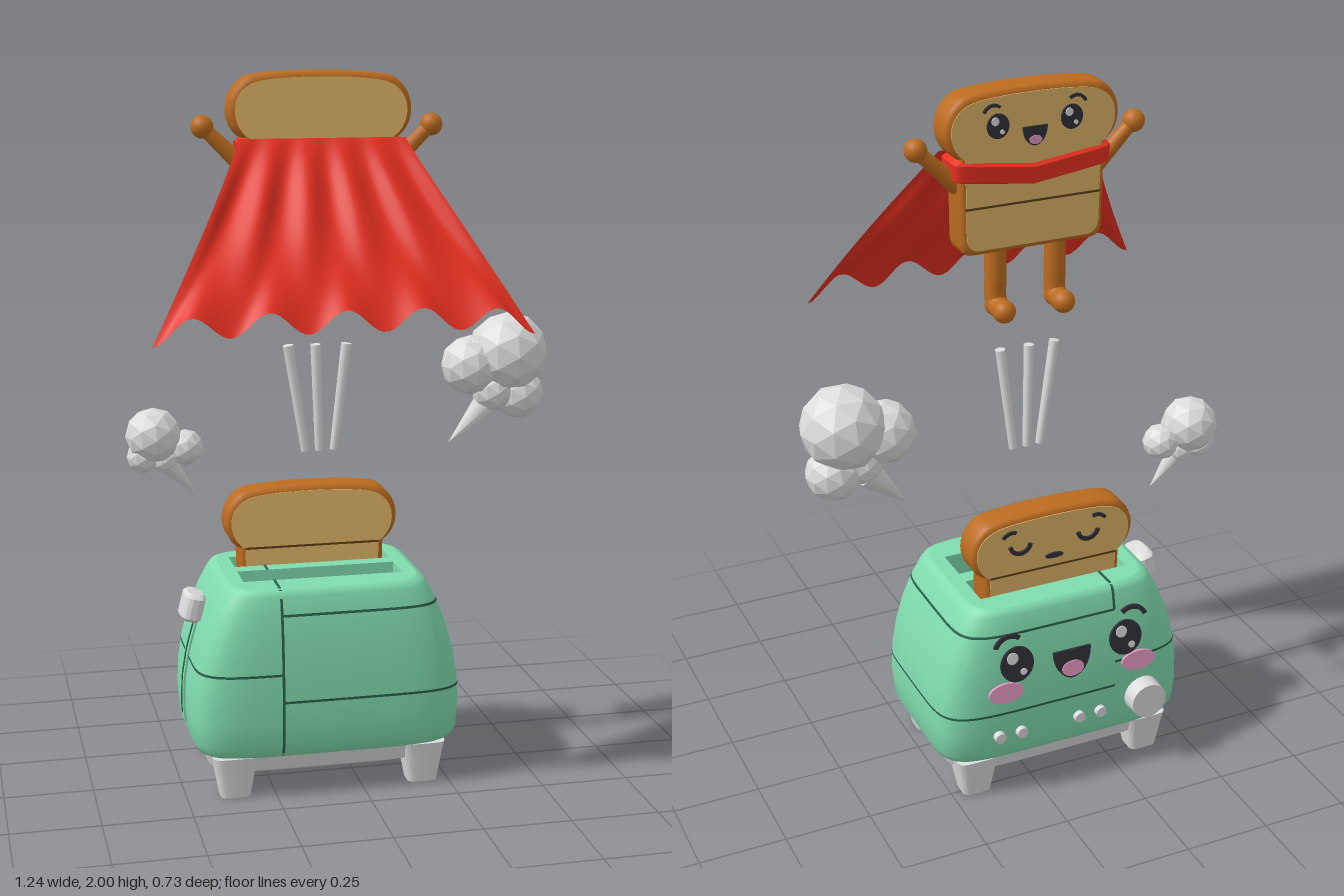
import * as THREE from 'three';
import { toCreasedNormals } from 'three/addons/utils/BufferGeometryUtils.js';

const material = (name, color, extra = {}) => {
  const m = new THREE.MeshStandardMaterial({ color, ...extra });
  m.name = name;
  return m;
};

const CX = -0.094, CZ = -0.067; // toaster centre line
const V = (x, y, z) => new THREE.Vector3(x, y, z);

// Toaster outline: height, half width, half depth
const BODY = [[0.118, 0.355, 0.225], [0.128, 0.37, 0.238], [0.15, 0.381, 0.247], [0.22, 0.386, 0.254], [0.3, 0.383, 0.255],
  [0.38, 0.37, 0.252], [0.46, 0.348, 0.246], [0.53, 0.32, 0.236], [0.58, 0.294, 0.225], [0.594, 0.283, 0.219], [0.6, 0.268, 0.208]];

function halfAt(y, axis) {
  let i = 1;
  while (i < BODY.length - 1 && BODY[i][0] < y) i++;
  const a = BODY[i - 1], b = BODY[i];
  return THREE.MathUtils.lerp(a[axis], b[axis], (y - a[0]) / (b[0] - a[0]));
}

// Rounded-rectangle cross-section
function section(hx, hz, power, n = 64) {
  const bend = c => Math.sign(c) * Math.pow(Math.abs(c), 2 / power);
  return Array.from({ length: n }, (_, i) => {
    const t = (i / n) * Math.PI * 2;
    return [hx * bend(Math.cos(t)), hz * bend(Math.sin(t))];
  });
}

// Skin over stacked cross-sections [y, hx, hz]
function loft(rings, power = 6, rule = null) {
  const n = 64, pos = [], idx = [];
  for (const [y, hx, hz] of rings)
    for (const [x, z] of section(hx, hz, power, n)) pos.push(...(rule ? rule(x, y, z) : [x, y, z]));
  for (let r = 0; r < rings.length - 1; r++)
    for (let i = 0; i < n; i++) {
      const a = r * n + i, b = r * n + (i + 1) % n;
      idx.push(a, a + n, b, b, a + n, b + n);
    }
  const g = new THREE.BufferGeometry();
  g.setAttribute('position', new THREE.Float32BufferAttribute(pos, 3));
  g.setIndex(idx);
  return toCreasedNormals(g, 0.7);
}

const extrude = (shape, depth, opts = {}) =>
  new THREE.ExtrudeGeometry(shape, { depth, bevelEnabled: false, curveSegments: 20, ...opts });

const ellipse = (rx, ry) => new THREE.Shape().absellipse(0, 0, rx, ry, 0, Math.PI * 2);
const arc = (r, w, a0, a1) => new THREE.Shape().absarc(0, 0, r, a0, a1, false).absarc(0, 0, r - w, a1, a0, true);
const smile = (rx, ry) => new THREE.Shape().absellipse(0, 0, rx, ry, Math.PI, Math.PI * 2, false);

// Bread outline, neck at y = 0, pulled in by i
function breadShape(h, i) {
  const w = 0.212 - i, b = -h + i, s = new THREE.Shape();
  s.moveTo(-w + 0.04, b).lineTo(w - 0.04, b);
  s.quadraticCurveTo(w - 0.005, b, w - 0.003, b + 0.04).lineTo(w, 0);
  s.bezierCurveTo(0.262 - i, 0.03, 0.27 - i, 0.12, 0.2 - i, 0.162 - i);
  s.bezierCurveTo(0.14, 0.183 - i, -0.14, 0.183 - i, -0.2 + i, 0.162 - i);
  s.bezierCurveTo(-0.27 + i, 0.12, -0.262 + i, 0.03, -w, 0);
  s.lineTo(-w + 0.003, b + 0.04).quadraticCurveTo(-w + 0.005, b, -w + 0.04, b);
  return s;
}

export function createModel() {
  const green = material('mint', 0x80dcaf), seam = material('dark green', 0x2c5f49), grey = material('light grey', 0xdcdcdc);
  const crust = material('crust brown', 0xbd6c1f), crumb = material('crumb tan', 0xe2b668);
  const groove = material('groove brown', 0x5f4018), red = material('cape red', 0xe83020, { side: THREE.DoubleSide });
  const ink = material('ink', 0x303038), pink = material('pink', 0xe69ac4);

  const root = new THREE.Group();
  const group = (name, parent = root) => { const g = new THREE.Group(); g.name = name; parent.add(g); return g; };
  const add = (parent, name, geo, mat, x = 0, y = 0, z = 0) => {
    const m = new THREE.Mesh(geo, mat);
    m.name = name;
    m.position.set(x, y, z);
    parent.add(m);
    return m;
  };
  const rod = (parent, name, a, b, ra, rb, mat, sides = 12) => {
    const m = add(parent, name, new THREE.CylinderGeometry(rb, ra, a.distanceTo(b), sides), mat);
    m.position.copy(a).lerp(b, 0.5);
    m.quaternion.setFromUnitVectors(V(0, 1, 0), b.clone().sub(a).normalize());
  };
  // Thin painted plate facing the back
  const plate = (parent, name, shape, mat, x, y, layer = 0, turn = 0) => {
    const m = add(parent, name, extrude(shape, 0.008), mat, x, y, -0.008 - layer * 0.003);
    m.rotation.z = turn;
  };
  const openEyes = (face, r, dx) => {
    for (const s of [-1, 1]) {
      plate(face, 'eye', ellipse(r, r * 1.08), ink, s * dx, 0);
      plate(face, 'eyeHighlight', ellipse(r * 0.34, r * 0.36), grey, s * dx + r * 0.3, r * 0.45, 1);
      plate(face, 'eyeGlint', ellipse(r * 0.2, r * 0.2), grey, s * dx - r * 0.35, -r * 0.5, 1);
      plate(face, 'brow', arc(r * 1.05, r * 0.26, Math.PI * 0.2, Math.PI * 0.8), ink, s * dx * 1.12, r * 0.9, 0, -s * 0.25);
    }
  };

  // Toaster shell
  const toaster = group('toaster');
  add(toaster, 'shell', loft(BODY), green, CX, 0, CZ);
  const topShape = new THREE.Shape(section(0.268, 0.208, 6).map(([x, z]) => new THREE.Vector2(x + CX, -(z + CZ))).reverse());
  const slots = [[-0.203, -0.098], [-0.052, 0.053]];
  for (const [z0, z1] of slots) {
    const hole = new THREE.Path();
    hole.moveTo(-0.322, -z0).lineTo(0.134, -z0).lineTo(0.134, -z1).lineTo(-0.322, -z1).closePath();
    topShape.holes.push(hole);
    add(toaster, 'slotFloor', new THREE.BoxGeometry(0.46, 0.01, z1 - z0), green, CX, 0.495, (z0 + z1) / 2);
  }
  add(toaster, 'slottedTop', extrude(topShape, 0.1).rotateX(-Math.PI / 2), green, 0, 0.5, 0);

  // Panel seams
  const seamX = -0.235 - CX;
  const hSeam = (y, rule) => add(toaster, 'panelSeam', loft([-0.0035, 0.0035].map(d =>
    [y + d, halfAt(y + d, 1) + 0.002, halfAt(y + d, 2) + 0.002]), 6, rule), seam, CX, 0, CZ);
  hSeam(0.53, (x, y, z) => [Math.max(x, seamX), y, z]);
  hSeam(0.285, (x, y, z) => [Math.max(x, seamX), y, z]);
  hSeam(0.365, (x, y, z) => [Math.min(x, seamX), y, z]);
  const rib = (axis, sign, y0, y1, w, out) => {
    const outer = [], inner = [];
    for (let i = 0; i <= 16; i++) {
      const y = y0 + (y1 - y0) * i / 16, d = halfAt(y, axis);
      outer.push(new THREE.Vector2(sign * (d + out), y));
      inner.unshift(new THREE.Vector2(sign * (d - 0.012), y));
    }
    return extrude(new THREE.Shape([...outer, ...inner]), w).translate(0, 0, -w / 2);
  };
  for (const [s, y0] of [[-1, 0.53], [1, 0.125]])
    add(toaster, 'verticalSeam', rib(2, s, y0, 0.598, 0.007, 0.002).rotateY(-Math.PI / 2), seam, CX + seamX, 0, CZ);
  for (const [z0, z1] of [[-0.272, -0.203], [-0.098, -0.052], [0.053, 0.138]])
    add(toaster, 'topSeam', new THREE.BoxGeometry(0.007, 0.004, z1 - z0), seam, CX + seamX, 0.6, (z0 + z1) / 2);

  // Lever, dial and buttons
  add(toaster, 'leverFrame', rib(1, -1, 0.17, 0.53, 0.05, 0.006), green, CX, 0, -0.06);
  add(toaster, 'leverSlot', rib(1, -1, 0.19, 0.51, 0.012, 0.008), seam, CX, 0, -0.06);
  const lever = add(toaster, 'lever', loft([[-0.04, 0, 0], [-0.04, 0.022, 0.042], [-0.03, 0.031, 0.056],
    [0.03, 0.031, 0.056], [0.04, 0.022, 0.042], [0.04, 0, 0]], 3), grey, -0.453, 0.511, -0.053);
  lever.rotation.z = -0.25;
  rod(toaster, 'leverStem', V(-0.46, 0.51, -0.06), V(-0.4, 0.5, -0.06), 0.022, 0.022, grey);
  rod(toaster, 'dial', V(-0.325, 0.232, -0.29), V(-0.325, 0.232, -0.368), 0.058, 0.054, grey, 20);
  for (const x of [0.13, 0.062, -0.12, -0.188])
    rod(toaster, 'button', V(x, 0.212, -0.3), V(x, 0.212, -0.336), 0.019, 0.016, grey, 14);

  // Toaster face
  const face = group('toasterFace', toaster);
  face.position.set(CX, 0.44, CZ - halfAt(0.44, 2) - 0.003);
  face.rotation.x = 0.1;
  openEyes(face, 0.05, 0.17);
  plate(face, 'mouth', smile(0.058, 0.088), ink, 0, 0.005);
  plate(face, 'tongue', ellipse(0.034, 0.024), pink, 0, -0.053, 1);
  for (const s of [-1, 1]) plate(face, 'cheek', ellipse(0.053, 0.03), pink, s * 0.208, -0.08, 1);

  // Base and feet
  const base = group('base');
  add(base, 'baseFrame', loft([[0.07, 0, 0], [0.07, 0.31, 0.195], [0.075, 0.335, 0.21], [0.125, 0.352, 0.226], [0.125, 0, 0]]), grey, CX, 0, CZ);
  add(base, 'underPlate', loft([[0.054, 0, 0], [0.054, 0.27, 0.165], [0.072, 0.3, 0.19]]), grey, CX, 0, CZ);
  for (const sx of [-1, 1]) for (const sz of [-1, 1])
    add(base, 'foot', loft([[0, 0, 0], [0, 0.042, 0.037], [0.05, 0.051, 0.044], [0.08, 0.056, 0.048], [0.12, 0.064, 0.054], [0.12, 0, 0]], 5,
      (x, y, z) => [x, y, z * sz < 0 ? z * (1 + 10 * Math.max(0, y - 0.04)) : z]), grey, CX + sx * 0.27, 0, CZ + sz * 0.174);

  // Slices of bread
  const bread = (name, h, y, z, seamY) => {
    const g = group(name);
    g.position.set(CX, y, z);
    add(g, 'crust', toCreasedNormals(extrude(breadShape(h, 0), 0.058, { bevelEnabled: true, bevelThickness: 0.018,
      bevelSize: 0.018, bevelOffset: -0.018, bevelSegments: 3 }), 0.6), crust, 0, 0, -0.029);
    for (const s of [-1, 1]) {
      add(g, 'crumbFace', extrude(breadShape(h, 0.016), 0.006), crumb, 0, 0, s * 0.0465 - 0.003);
      add(g, 'crumbGroove', new THREE.BoxGeometry(0.392, 0.006, 0.006), groove, 0, seamY, s * 0.0475);
    }
    const f = group('breadFace', g);
    f.position.z = -0.0475;
    return f;
  };
  const sleepy = bread('sleepingToast', 0.14, 0.652, -0.148, 0);
  for (const s of [-1, 1]) {
    plate(sleepy, 'closedEye', arc(0.037, 0.012, Math.PI * 1.05, Math.PI * 1.95), ink, s * 0.105, 0.095);
    plate(sleepy, 'brow', arc(0.04, 0.01, Math.PI * 0.3, Math.PI * 0.7), ink, s * 0.13, 0.1, 0, -s * 0.3);
  }
  plate(sleepy, 'sleepyMouth', ellipse(0.028, 0.008), ink, 0, 0.035);

  const happy = bread('flyingToast', 0.27, 1.822, 0.003, -0.135);
  happy.position.y = 0.082;
  openEyes(happy, 0.031, 0.106);
  plate(happy, 'mouth', smile(0.035, 0.052), ink, 0, -0.012);
  plate(happy, 'tongue', ellipse(0.018, 0.012), pink, 0, -0.048, 1);

  // Arms and legs
  const limbs = group('limbs');
  for (const s of [-1, 1]) {
    const hand = V(CX + s * 0.316, 1.852, 0);
    rod(limbs, 'arm', V(CX + s * 0.2, 1.74, 0), hand, 0.025, 0.018, crust);
    add(limbs, 'hand', new THREE.SphereGeometry(0.031, 16, 12), crust, hand.x, hand.y, hand.z);
    const x = CX + s * 0.089;
    const path = new THREE.CatmullRomCurve3([V(x, 1.57, 0.006), V(x, 1.47, 0.005), V(x, 1.4, 0.002), V(x, 1.386, -0.02), V(x, 1.384, -0.055)]);
    add(limbs, 'leg', new THREE.TubeGeometry(path, 24, 0.03, 12), crust);
    add(limbs, 'toe', new THREE.SphereGeometry(0.032, 16, 12), crust, x, 1.386, -0.053);
    add(limbs, 'heel', new THREE.SphereGeometry(0.031, 16, 12), crust, x, 1.386, 0.002);
  }

  // Scarf and cape
  add(root, 'scarf', loft([[1.762, 0.215, 0.046], [1.768, 0.226, 0.058], [1.812, 0.228, 0.058], [1.824, 0.215, 0.046]], 8,
    (x, y, z) => [x, y - (z < 0 ? 0.03 * (1 - Math.abs(x) / 0.23) : 0), z]), red, CX, 0, 0.003);
  const cape = new THREE.PlaneGeometry(1, 1, 64, 14), p = cape.attributes.position;
  for (let i = 0; i < p.count; i++) {
    const u = p.getX(i) * 2, v = 0.5 - p.getY(i), wave = Math.cos((u + 1) * 5 * Math.PI);
    const half = THREE.MathUtils.lerp(0.228, 0.506, Math.pow(v, 1.1));
    p.setXYZ(i, CX + u * half, 1.822 - 0.45 * v - 0.03 * v * v * wave - 0.02 * v * Math.pow(u, 4),
      0.058 + 0.305 * v + 0.07 * v * (1 - v) * wave);
  }
  cape.computeVertexNormals();
  add(root, 'cape', cape, red);

  // Launch streaks
  for (const [x0, x1] of [[-0.13, -0.18], [-0.09, -0.102], [-0.048, -0.015]])
    rod(root, 'launchStreak', V(x0, 0.95, -0.02), V(x1, 1.253, -0.005), 0.012, 0.015, grey, 8);

  // Faceted steam puffs with pointed tails
  const steam = (name, balls, from, to, r) => {
    const g = group(name);
    for (const [x, y, z, s] of balls) {
      const ball = new THREE.IcosahedronGeometry(s, 1);
      ball.computeVertexNormals();
      add(g, 'puff', ball, grey, x, y, z);
    }
    rod(g, 'steamTail', from, to, r, 0.001, grey, 8);
  };
  steam('steamLeft', [[0.5, 1.185, -0.15, 0.117], [0.388, 1.15, -0.15, 0.088], [0.535, 1.06, -0.155, 0.075], [0.455, 1.075, -0.145, 0.065]],
    V(0.44, 1.04, -0.15), V(0.325, 0.925, -0.15), 0.042);
  steam('steamRight', [[-0.54, 0.985, -0.15, 0.08], [-0.45, 0.947, -0.15, 0.052], [-0.57, 0.925, -0.15, 0.047], [-0.51, 0.915, -0.15, 0.04]],
    V(-0.5, 0.9, -0.15), V(-0.422, 0.81, -0.15), 0.028);

  return root;
}
